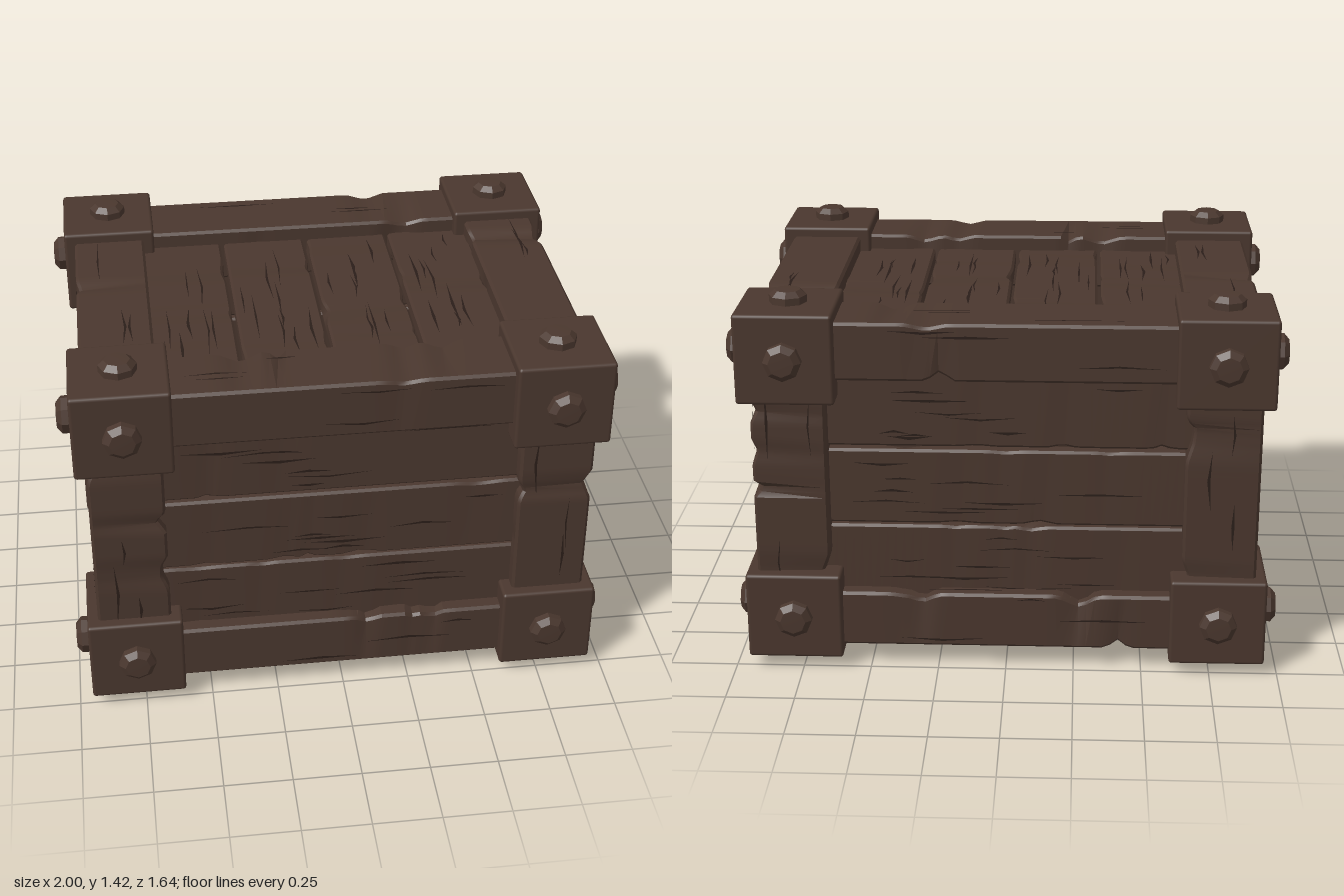
import * as THREE from 'three';
import { toCreasedNormals } from 'three/addons/utils/BufferGeometryUtils.js';
import { RoundedBoxGeometry } from 'three/addons/geometries/RoundedBoxGeometry.js';

const wood = new THREE.MeshStandardMaterial({ color: 0x4a372e });
wood.name = 'dark brown wood';
const crackMat = new THREE.MeshStandardMaterial({ color: 0x2a1e19, side: THREE.DoubleSide });
crackMat.name = 'crack brown';

// small seeded generator
let state = 7;
const rnd = (a = 0, b = 1) => {
  state = (state * 16807) % 2147483647;
  return a + (b - a) * (state / 2147483647);
};
const V = (x, y, z) => new THREE.Vector3(x, y, z);
const X = V(1, 0, 0), Y = V(0, 1, 0), Z = V(0, 0, 1);

// chamfered board: local x = width, y = thickness (outside at +y), z = length
function boardGeometry(w, t, L, chips, depth) {
  const a = w / 2, b = t / 2, c = Math.min(0.01, t * 0.15);
  const shape = new THREE.Shape([
    [-a + c, -b], [a - c, -b], [a, -b + c], [a, b - c],
    [a - c, b], [-a + c, b], [-a, b - c], [-a, -b + c],
  ].map(p => new THREE.Vector2(...p)));
  const g = new THREE.ExtrudeGeometry(shape, { depth: L, steps: 44, bevelEnabled: false });
  g.translate(0, 0, -L / 2);

  // worn notches: pull one long edge inwards around a point
  const notches = Array.from({ length: chips }, () => ({
    sx: rnd() < 0.5 ? -1 : 1, sy: rnd() < 0.75 ? 1 : -1,
    z: rnd(-0.42, 0.42) * L, r: rnd(0.03, 0.09), d: rnd(0.4, 1) * depth,
  }));
  const p = g.attributes.position;
  for (let i = 0; i < p.count; i++) {
    const x = p.getX(i), y = p.getY(i), z = p.getZ(i);
    let pull = 0;
    for (const n of notches) {
      if (x * n.sx > 0 && y * n.sy > 0) pull += n.d * Math.max(0, 1 - Math.abs(z - n.z) / n.r);
    }
    pull = Math.min(pull, t * 0.35);
    p.setXYZ(i, x - Math.sign(x) * pull, y - Math.sign(y) * pull * 0.6, z);
  }
  return toCreasedNormals(g, 0.5);
}

// thin bent slivers along the grain, lying on the local +y plane
function crackGeometry(count, w, h, L) {
  const pos = [];
  for (let i = 0; i < count; i++) {
    const x = rnd(-0.4, 0.4) * w, l = rnd(0.05, 0.17) * Math.min(L, 1.1);
    const z = rnd(-0.5, 0.5) * (L - 2 * l) * 0.9;
    const s = rnd(0.003, 0.006), bend = rnd(-0.012, 0.012);
    pos.push(x, h, z - l, x + bend + s, h, z, x + bend - s, h, z);
    pos.push(x, h, z + l, x + bend - s, h, z, x + bend + s, h, z);
  }
  const g = new THREE.BufferGeometry();
  g.setAttribute('position', new THREE.Float32BufferAttribute(pos, 3));
  g.computeVertexNormals();
  return g;
}

function board(name, centre, out, along, w, t, L, { chips = 4, depth = 0.02, cracks = 3, second = 0 } = {}) {
  const group = new THREE.Group();
  group.name = name;
  group.add(new THREE.Mesh(boardGeometry(w, t, L, chips, depth), wood));
  const lines = new THREE.Mesh(crackGeometry(cracks, w, t / 2 + 0.002, L), crackMat);
  lines.name = 'cracks';
  group.add(lines);
  const across = out.clone().cross(along);
  if (second) { // beams show a second outer face
    const side = Math.sign(across.dot(centre)) || 1;
    const more = new THREE.Mesh(crackGeometry(second, t, w / 2 + 0.002, L), crackMat);
    more.name = 'sideCracks';
    more.rotation.z = -side * Math.PI / 2;
    group.add(more);
  }
  group.quaternion.setFromRotationMatrix(new THREE.Matrix4().makeBasis(across, out, along));
  group.position.copy(centre);
  return group;
}

// faceted bolt head with a sloped rim
const boltGeometry = toCreasedNormals(new THREE.LatheGeometry(
  [[0.068, -0.01], [0.068, 0.028], [0.046, 0.047], [0, 0.049]].map(p => new THREE.Vector2(...p)), 8), 0.3);

export function createModel() {
  state = 7;
  const crate = new THREE.Group();
  crate.name = 'woodenCrate';
  const cx = 0.775, cz = 0.598, low = 0.22, high = 1.212;
  const beam = { chips: 5, depth: 0.035, cracks: 3, second: 3 };

  // corner blocks, each with three bolts
  for (const sx of [-1, 1]) for (const sz of [-1, 1]) {
    for (const [y, sy] of [[low, -1], [high, 1]]) {
      const corner = new THREE.Group();
      corner.name = 'cornerBlock';
      corner.position.set(sx * cx, y, sz * 0.6);
      const block = new THREE.Mesh(new RoundedBoxGeometry(0.35, 0.33, 0.35, 2, 0.012), wood);
      block.name = 'block';
      corner.add(block);
      for (const [dir, d] of [[V(sx, 0, 0), 0.175], [V(0, sy, 0), 0.163], [V(0, 0, sz), 0.173]]) {
        const bolt = new THREE.Mesh(boltGeometry, wood);
        bolt.name = 'bolt';
        bolt.quaternion.setFromUnitVectors(Y, dir);
        bolt.position.copy(dir).multiplyScalar(d);
        corner.add(bolt);
      }
      crate.add(corner);
    }
    // upright posts
    crate.add(board('cornerPost', V(sx * cx, 0.716, sz * cz), V(0, 0, sz), Y, 0.27, 0.265, 0.9, beam));
  }

  // horizontal rails
  for (const [y, sy] of [[0.195, -1], [1.232, 1]]) for (const s of [-1, 1]) {
    crate.add(board('longRail', V(0, y, s * cz), V(0, 0, s), X, 0.213, 0.265, 1.3, beam));
    crate.add(board('sideRail', V(s * cx, y, 0), V(s, 0, 0), Z, 0.213, 0.27, 0.95, beam));
  }

  // wall planks with narrow gaps between them
  const plank = { chips: 5, depth: 0.012, cracks: 9 };
  for (const [y0, y1] of [[0.25, 0.551], [0.559, 0.847], [0.86, 1.16]]) {
    const y = (y0 + y1) / 2, w = y1 - y0;
    for (const s of [-1, 1]) {
      crate.add(board('wallPlank', V(0, y, s * 0.645), V(0, 0, s), X, w, 0.06, 1.36, plank));
      crate.add(board('sidePlank', V(s * 0.825, y, 0), V(s, 0, 0), Z, w, 0.06, 1.0, plank));
    }
  }

  // lid and floor planks; the floor seams are offset from the lid seams
  for (let i = 0; i < 4; i++) {
    const x = -0.495 + i * 0.33;
    crate.add(board('lidPlank', V(x, 1.25, 0), Y, Z, 0.316, 0.06, 1.0, plank));
    crate.add(board('floorPlank', V(x + 0.02, 0.18, 0), V(0, -1, 0), Z, 0.318, 0.06, 1.0, plank));
  }
  return crate;
}
